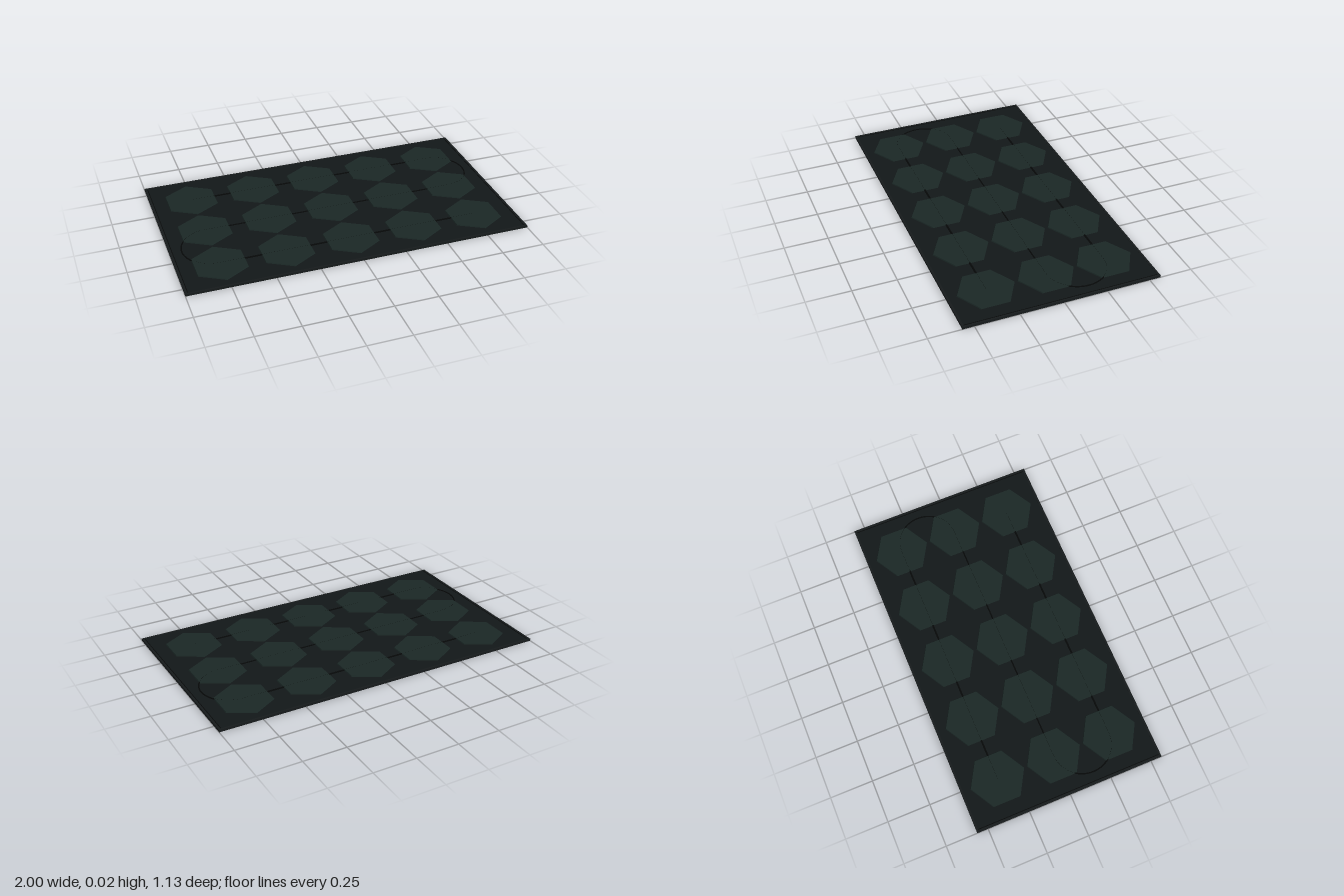
import * as THREE from 'three';

const WIDTH = 2, DEPTH = 1.13, BASE_H = 0.011;
const COLS = [-0.76, -0.38, 0, 0.38, 0.76];
const ROWS = [-0.345, 0, 0.345];
const HEX_R = 0.165;

const material = (color) => new THREE.MeshStandardMaterial({ color });

export function createModel() {
  const model = new THREE.Group();
  const baseMat = material(0x121718);
  const rimMat = material(0x161a1b);
  const tileMat = material(0x1a2725);
  const cableMat = material(0x060808);

  const add = (name, geometry, mat, x = 0, y = 0, z = 0, parent = model) => {
    const mesh = new THREE.Mesh(geometry, mat);
    mesh.name = name;
    mesh.position.set(x, y, z);
    parent.add(mesh);
    return mesh;
  };

  // Thin rectangular mat
  add('base', new THREE.BoxGeometry(WIDTH - 0.004, BASE_H, DEPTH - 0.004), baseMat, 0, BASE_H / 2, 0);

  // Slim raised border
  const rim = new THREE.Group();
  rim.name = 'rim';
  model.add(rim);
  const rimW = 0.012, rimH = 0.013;
  for (const s of [-1, 1]) {
    add('longRim', new THREE.BoxGeometry(WIDTH, rimH, rimW), rimMat, 0, rimH / 2, s * (DEPTH - rimW) / 2, rim);
    add('shortRim', new THREE.BoxGeometry(rimW, rimH, DEPTH - 2 * rimW), rimMat, s * (WIDTH - rimW) / 2, rimH / 2, 0, rim);
    // Dark seam just inside each short edge
    add('seam', new THREE.BoxGeometry(0.004, 0.001, DEPTH - 2 * rimW), cableMat, s * 0.984, BASE_H + 0.0005, 0, rim);
  }

  // Hexagonal tiles, pointed towards front and back, with a small bevel
  const hex = new THREE.CylinderGeometry(HEX_R - 0.004, HEX_R, 0.006, 6).toNonIndexed();
  hex.computeVertexNormals();
  const tiles = new THREE.Group();
  tiles.name = 'tiles';
  model.add(tiles);
  for (const z of ROWS) {
    for (const x of COLS) add('hexTile', hex, tileMat, x, BASE_H + 0.002, z, tiles);
  }

  // Cable snaking through all rows
  const end = COLS[4], r = ROWS[2] / 2, cableY = BASE_H + 0.0012;
  const point = (x, z) => new THREE.Vector3(x, cableY, z);
  const path = new THREE.CurvePath();
  const line = (x0, x1, z) => path.add(new THREE.LineCurve3(point(x0, z), point(x1, z)));
  const turn = (side, zc) => {
    const points = [];
    for (let i = 0; i <= 16; i++) {
      const a = (i / 16) * Math.PI;
      points.push(point(side * (end + r * Math.sin(a)), zc - r * Math.cos(a)));
    }
    path.add(new THREE.CatmullRomCurve3(points));
  };
  line(-end, end, ROWS[0]);
  turn(1, -r);
  line(end, -end, ROWS[1]);
  turn(-1, r);
  line(-end, end, ROWS[2]);
  add('cable', new THREE.TubeGeometry(path, 300, 0.004, 8, false), cableMat);

  // Thicker links between tiles in the outer rows
  for (const z of [ROWS[0], ROWS[2]]) {
    for (let i = 0; i < 4; i++) {
      add('link', new THREE.BoxGeometry(0.1, 0.004, 0.01), cableMat, (COLS[i] + COLS[i + 1]) / 2, BASE_H + 0.0015, z);
    }
  }
  return model;
}
